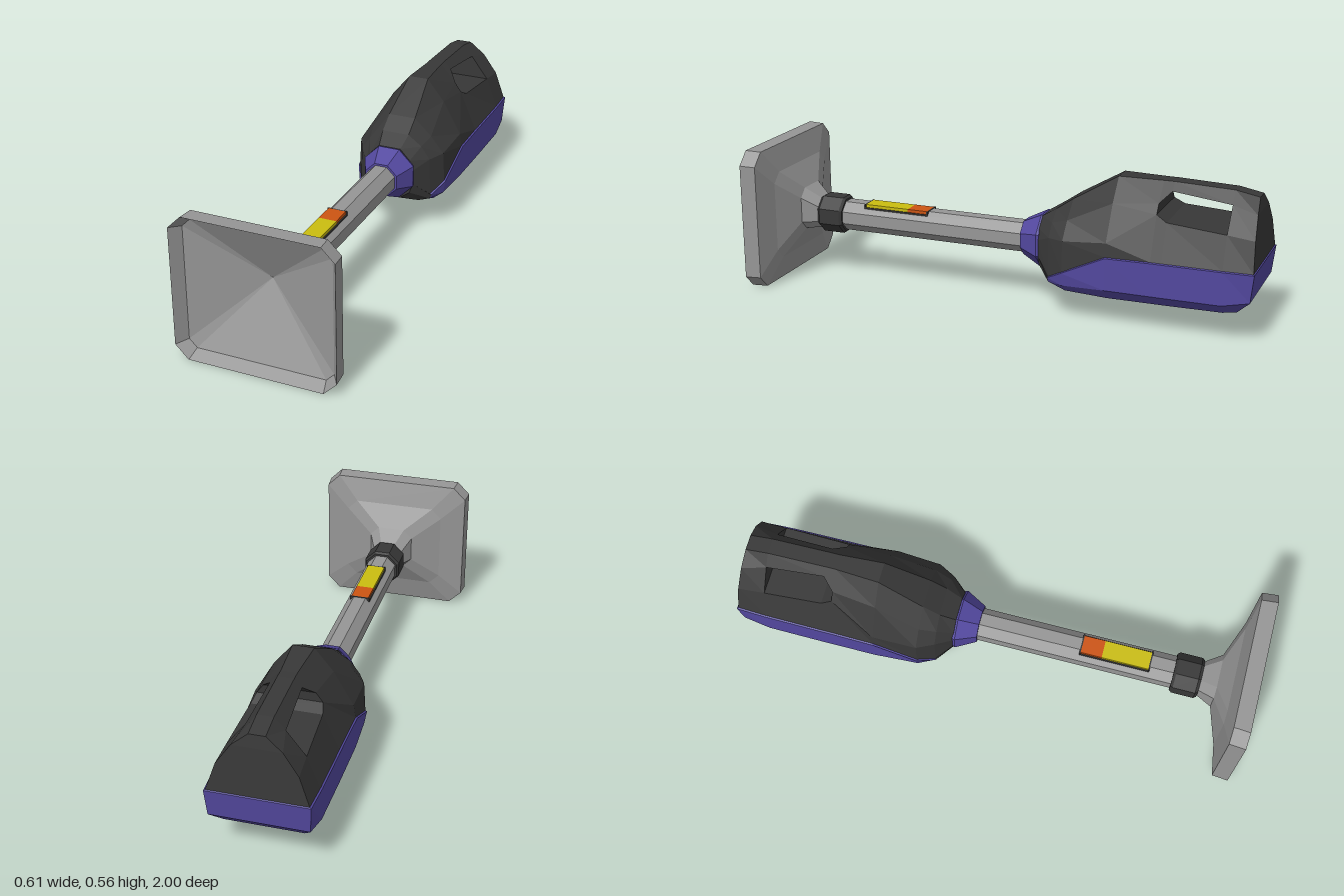
import * as THREE from 'three';

const mat = (name, color, side = THREE.FrontSide) => {
  const m = new THREE.MeshStandardMaterial({ color, flatShading: true, side });
  m.name = name;
  return m;
};

// Flat-shaded mesh from a list of four-cornered faces
function quadMesh(name, quads, material) {
  const pos = [];
  for (const [a, b, c, d] of quads) pos.push(...a, ...b, ...c, ...a, ...c, ...d);
  const g = new THREE.BufferGeometry();
  g.setAttribute('position', new THREE.Float32BufferAttribute(pos, 3));
  g.computeVertexNormals();
  const mesh = new THREE.Mesh(g, material);
  mesh.name = name;
  return mesh;
}

// Eight-sided part turned about the tube axis; profile of [radius, z]
const AXIS_Y = 0.258;
function turned(name, profile, material) {
  const pts = profile.map(([r, z]) => new THREE.Vector2(r / Math.cos(Math.PI / 8), z));
  const g = new THREE.LatheGeometry(pts, 8, Math.PI / 8).rotateX(Math.PI / 2);
  const mesh = new THREE.Mesh(g, material);
  mesh.position.y = AXIS_Y;
  mesh.name = name;
  return mesh;
}

function box(name, w, y0, y1, z0, z1, material) {
  const mesh = new THREE.Mesh(new THREE.BoxGeometry(w, y1 - y0, z1 - z0), material);
  mesh.position.set(0, (y0 + y1) / 2, (z0 + z1) / 2);
  mesh.name = name;
  return mesh;
}

// Suction nozzle: square rings with cut corners, outside first, then the hollow inside
function buildNozzle(material) {
  const ring = ([z, hx, y0, y1, c]) => [
    [hx, y0 + c, z], [hx, y1 - c, z], [hx - c, y1, z], [c - hx, y1, z],
    [-hx, y1 - c, z], [-hx, y0 + c, z], [c - hx, y0, z], [hx - c, y0, z],
  ];
  const rings = [
    [0.79, 0.055, 0.2, 0.315, 0.03],
    [0.86, 0.09, 0.195, 0.365, 0.035],
    [0.91, 0.205, 0.1, 0.455, 0.04],
    [0.937, 0.302, 0.002, 0.553, 0.05],
    [1, 0.307, 0, 0.555, 0.05],
    [0.955, 0.277, 0.025, 0.527, 0.03],
    [0.845, 0, 0.305, 0.305, 0],
  ].map(ring);
  const quads = [];
  for (let s = 0; s < rings.length - 1; s++)
    for (let i = 0; i < 8; i++) {
      const j = (i + 1) % 8;
      quads.push([rings[s][i], rings[s][j], rings[s + 1][j], rings[s + 1][i]]);
    }
  return quadMesh('nozzle', quads, material);
}

// Motor body: cross-sections from front to back, split into upper shell and lower tray
function buildBody(dark, purple) {
  // z, top y, then half-section points: A x, B xy, C xy, D xy, E xy, F xy
  const sections = [
    [-0.155, 0.362, 0.045, 0.085, 0.32, 0.1, 0.28, 0.1, 0.22, 0.085, 0.18, 0.045, 0.15],
    [-0.215, 0.4, 0.055, 0.11, 0.36, 0.145, 0.31, 0.15, 0.16, 0.142, 0.14, 0.1, 0.122],
    [-0.28, 0.445, 0.055, 0.125, 0.38, 0.178, 0.315, 0.184, 0.197, 0.175, 0.143, 0.14, 0.11],
    [-0.45, 0.546, 0.04, 0.11, 0.46, 0.184, 0.33, 0.191, 0.278, 0.187, 0.15, 0.155, 0.108],
    [-0.62, 0.545, 0.03, 0.095, 0.475, 0.12, 0.44, 0.189, 0.28, 0.187, 0.15, 0.155, 0.109],
    [-0.66, 0.545, 0.03, 0.058, 0.515, 0.13, 0.417, 0.189, 0.28, 0.187, 0.15, 0.155, 0.109],
    [-0.885, 0.537, 0.03, 0.07, 0.492, 0.14, 0.4, 0.187, 0.28, 0.185, 0.15, 0.155, 0.112],
    [-0.985, 0.52, 0.03, 0.09, 0.47, 0.145, 0.39, 0.182, 0.28, 0.175, 0.17, 0.145, 0.117],
  ];
  const last = sections.length - 1;
  const backLean = [0.01, 0.003, -0.004, -0.011, -0.015, -0.003, 0.05];
  const rings = sections.map(([z, top, ax, bx, by, cx, cy, dx, dy, ex, ey, fx, fy], s) => {
    const lip = s === 0 ? 0 : 0.006; // tray stands slightly proud of the shell
    const half = [[ax, top], [bx, by], [cx, cy], [dx, dy], [dx + lip, dy - lip / 2], [ex + lip, ey], [fx, fy]]
      .map(([x, y], k) => [x, y, z + (s === last ? backLean[k] : 0)]);
    return [...half, ...half.map(([x, y, pz]) => [-x, y, pz]).reverse()];
  });
  const shell = [], tray = [];
  const n = 14, L = (k) => 13 - k, holeStart = 4, holeEnd = 6;
  for (let s = 0; s < last; s++) {
    const p = rings[s], q = rings[s + 1];
    const inHole = s >= holeStart && s < holeEnd;
    for (let i = 0; i < n; i++) {
      if (inHole && (i === 1 || i === 11)) continue;
      const j = (i + 1) % n;
      const lower = s > 0 && i >= 3 && i <= 9;
      (lower ? tray : shell).push([p[i], p[j], q[j], q[i]]);
    }
    // Floor and ceiling of the grip opening
    if (inHole) shell.push([p[11], p[2], q[2], q[11]], [p[1], p[12], q[12], q[1]]);
  }
  // Front and back walls of the grip opening
  const h0 = rings[holeStart], h1 = rings[holeEnd];
  shell.push([h0[12], h0[1], h0[2], h0[11]], [h1[1], h1[12], h1[11], h1[2]]);
  // End caps
  const f = rings[0], b = rings[last];
  for (let k = 0; k < 6; k++) {
    shell.push([f[k], f[L(k)], f[L(k + 1)], f[k + 1]]);
    (k < 3 ? shell : tray).push([b[L(k)], b[k], b[k + 1], b[L(k + 1)]]);
  }
  const body = new THREE.Group();
  body.name = 'motorBody';
  body.add(quadMesh('upperShell', shell, dark), quadMesh('lowerTray', tray, purple));
  return body;
}

export function createModel() {
  const grey = mat('grey', 0x969696);
  const dark = mat('charcoal', 0x383838);
  const purple = mat('purple', 0x53489f);
  const yellow = mat('yellow', 0xcabd10);
  const orange = mat('orange', 0xcc5412);

  const model = new THREE.Group();
  model.name = 'handheldVacuum';
  model.add(buildNozzle(grey), buildBody(dark, purple));

  // Tube with its joints
  model.add(
    turned('tube', [[0.058, -0.1], [0.058, 0.81]], grey),
    turned('collar', [[0.05, 0.693], [0.066, 0.693], [0.073, 0.703], [0.073, 0.79], [0.066, 0.8], [0.05, 0.8]], dark),
    turned('bodyJoint', [[0, -0.158], [0.101, -0.158], [0.104, -0.148], [0.066, -0.07], [0.05, -0.07]], purple),
  );

  // Indicator on top of the tube
  model.add(
    box('indicatorFrame', 0.08, 0.296, 0.306, 0.328, 0.602, dark),
    box('indicatorYellow', 0.07, 0.298, 0.318, 0.415, 0.597, yellow),
    box('indicatorOrange', 0.07, 0.298, 0.318, 0.333, 0.415, orange),
  );
  for (const z of [0.328, 0.597]) model.add(box('indicatorEdge', 0.08, 0.3, 0.318, z, z + 0.005, dark));
  return model;
}
